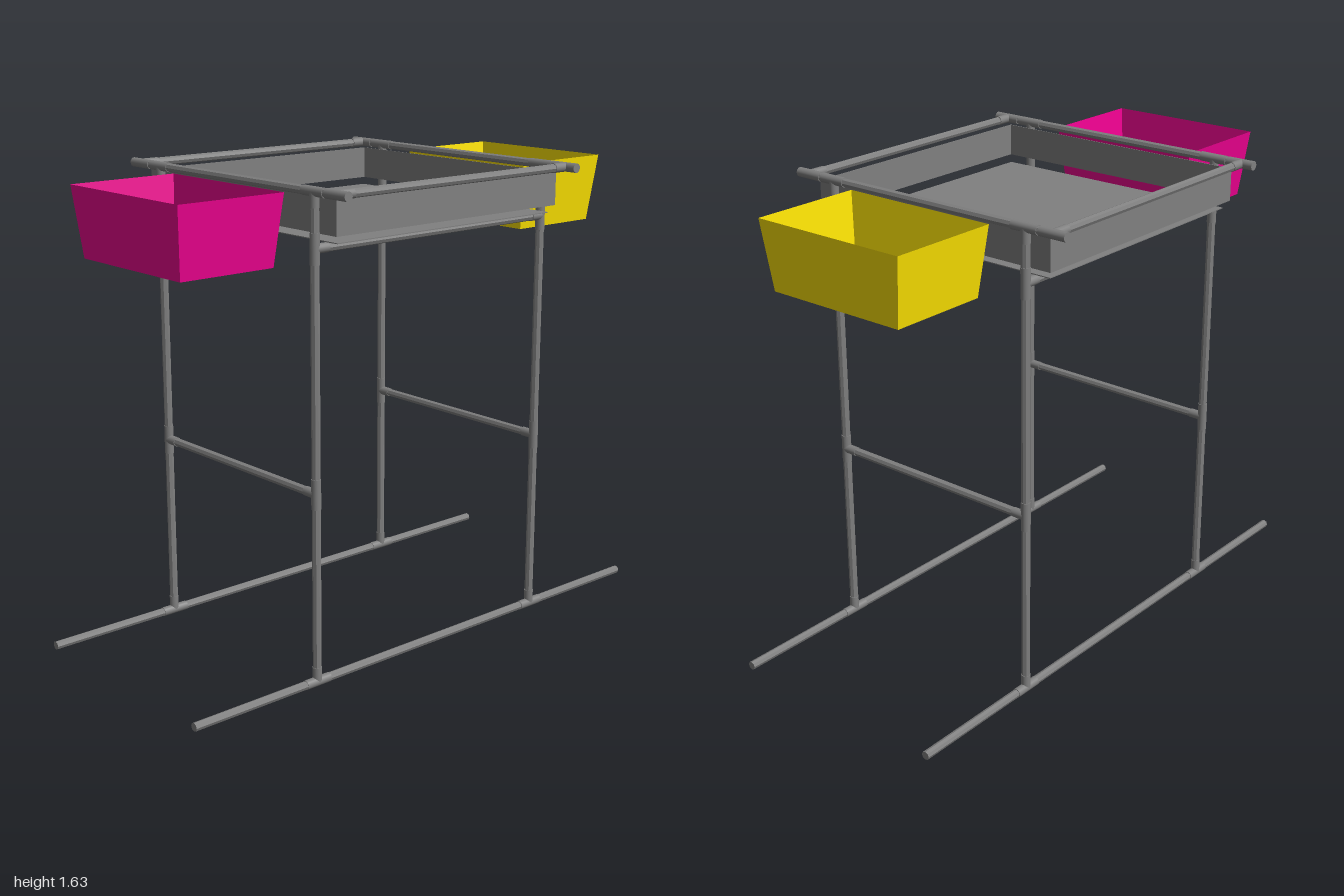
import * as THREE from 'three';

const pipeGrey = new THREE.MeshStandardMaterial({ color: 0x808080, flatShading: true });
const smoothGrey = new THREE.MeshStandardMaterial({ color: 0x808080 });

const PIPE = 0.0145, FIT = 0.016;      // pipe and fitting radii
const LX = 0.505, LZ = 0.403;          // leg positions
const BASE = 0.0175, MID = 0.66, LOW = 1.445, TOP = 1.62;
const BAR_Z = 0.51;                    // top cross bars

export function createModel() {
  const model = new THREE.Group();

  // Round bar along an axis, centred on a point
  function rod(name, axis, length, x, y, z, radius, sides, material) {
    const mesh = new THREE.Mesh(new THREE.CylinderGeometry(radius, radius, length, sides), material);
    if (axis === 'x') mesh.rotation.z = Math.PI / 2;
    if (axis === 'z') mesh.rotation.x = Math.PI / 2;
    mesh.position.set(x, y, z);
    mesh.name = name;
    model.add(mesh);
  }

  // Faceted pipe and smooth fitting
  const pipe = (name, axis, length, x, y, z) => rod(name, axis, length, x, y, z, PIPE, 8, pipeGrey);
  const fitting = (name, axis, length, x, y, z) => rod(name, axis, length, x, y, z, FIT, 16, smoothGrey);

  // Thin panel
  function panel(name, w, h, d, x, y, z) {
    const mesh = new THREE.Mesh(new THREE.BoxGeometry(w, h, d), smoothGrey);
    mesh.position.set(x, y, z);
    mesh.name = name;
    model.add(mesh);
  }

  // Open tapered bin, narrower at the base
  function bin(name, color, x) {
    const w = 0.395, d = 0.58, h = 0.235, inset = 0.022;
    const corners = [[-1, 1], [1, 1], [1, -1], [-1, -1]];
    const pos = [];
    for (const [y, s] of [[0, inset], [h, 0]])
      for (const [cx, cz] of corners) pos.push(cx * (w / 2 - s), y, cz * (d / 2 - s * 1.3));
    const index = [0, 2, 1, 0, 3, 2];
    for (let i = 0; i < 4; i++) {
      const j = (i + 1) % 4;
      index.push(i, j, j + 4, i, j + 4, i + 4);
    }
    let geo = new THREE.BufferGeometry();
    geo.setAttribute('position', new THREE.Float32BufferAttribute(pos, 3));
    geo.setIndex(index);
    geo = geo.toNonIndexed();
    geo.computeVertexNormals();
    const mesh = new THREE.Mesh(geo, new THREE.MeshStandardMaterial({ color, side: THREE.DoubleSide }));
    mesh.position.set(x, 1.375, 0.011);
    mesh.name = name;
    model.add(mesh);
  }

  for (const s of [-1, 1]) {
    // Floor runners, front and back
    pipe('floorRunner', 'x', 2, 0, BASE, s * LZ);
    // Side rails and side braces
    pipe('topRail', 'z', 1.12, s * LX, TOP, 0);
    pipe('sideBrace', 'z', 2 * LZ, s * LX, MID, 0);
    // Cross bars around the tray and beneath it
    pipe('topCrossBar', 'x', 2 * LX, 0, TOP, s * BAR_Z);
    pipe('traySupportBar', 'x', 2 * LX, 0, LOW, s * LZ);

    for (const t of [-1, 1]) {
      const x = s * LX, z = t * LZ;
      pipe('leg', 'y', TOP - BASE, x, (TOP + BASE) / 2, z);
      // Tee fittings: a sleeve on the through pipe and a socket on the joining pipe
      fitting('baseSleeve', 'x', 0.1, x, BASE, z);
      fitting('baseSocket', 'y', 0.05, x, BASE + 0.025, z);
      fitting('braceSleeve', 'y', 0.1, x, MID, z);
      fitting('braceSocket', 'z', 0.05, x, MID, z - t * 0.025);
      fitting('supportSleeve', 'y', 0.1, x, LOW, z);
      fitting('supportSocket', 'x', 0.05, x - s * 0.025, LOW, z);
      fitting('railSleeve', 'z', 0.1, x, TOP, z);
      fitting('railSocket', 'y', 0.05, x, TOP - 0.025, z);
      fitting('cornerSleeve', 'z', 0.1, x, TOP, t * BAR_Z);
      fitting('cornerSocket', 'x', 0.06, x - s * 0.03, TOP, t * BAR_Z);
    }

    // Upright tray walls
    panel('trayEndWall', 0.97, 0.112, 0.003, 0, 1.546, s * 0.483);
    panel('traySideWall', 0.003, 0.112, 0.969, s * 0.4865, 1.546, 0);
  }

  // Tray floor resting on the support bars
  panel('trayFloor', 0.94, 0.003, 0.935, 0, 1.465, 0);

  bin('leftBin', 0xfde300, 0.724);
  bin('rightBin', 0xee0090, -0.737);

  return model;
}
